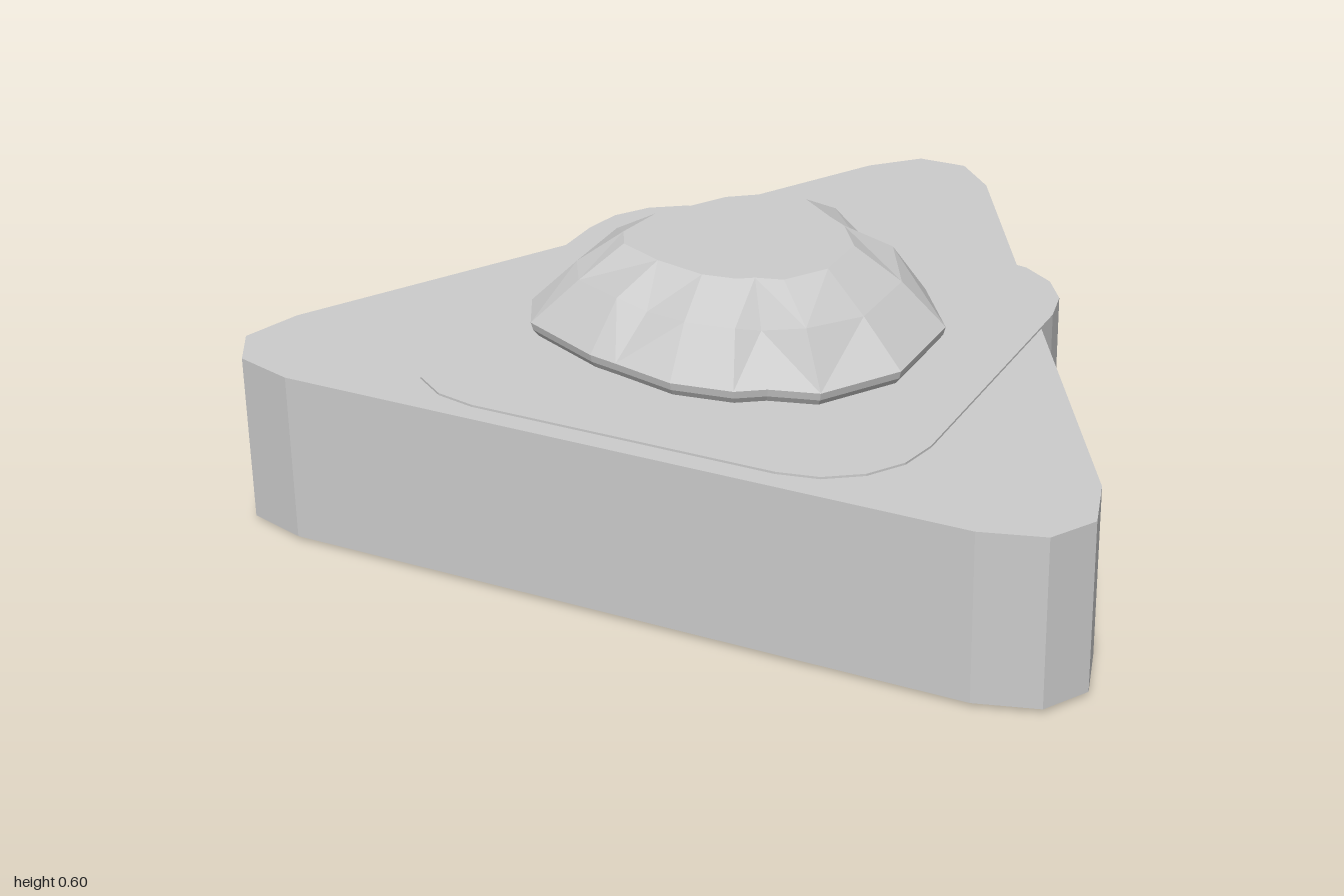
import * as THREE from 'three';

const grey = () => new THREE.MeshStandardMaterial({ color: 0xcccccc, flatShading: true });

// Upright prism from an outline of [x, z] points
function prism(name, outline, y0, y1) {
  const shape = new THREE.Shape(outline.map(([x, z]) => new THREE.Vector2(x, -z)));
  const geo = new THREE.ExtrudeGeometry(shape, { depth: y1 - y0, bevelEnabled: false });
  geo.rotateX(-Math.PI / 2).translate(0, y0, 0);
  const mesh = new THREE.Mesh(geo, grey());
  mesh.name = name;
  return mesh;
}

// Faceted solid through rings of [x, y, z] points, closed at both ends
function loft(name, rings) {
  const pos = [];
  const tri = (...pts) => pts.forEach((p) => pos.push(...p));
  const n = rings[0].length;
  for (let r = 0; r + 1 < rings.length; r++) {
    for (let i = 0; i < n; i++) {
      const j = (i + 1) % n;
      const a = rings[r][i], b = rings[r][j], c = rings[r + 1][j], d = rings[r + 1][i];
      if (i % 2) { tri(b, a, d); tri(b, d, c); }
      else { tri(b, a, c); tri(a, d, c); }
    }
  }
  const middle = (ring) => [0, 1, 2].map((k) => ring.reduce((s, p) => s + p[k], 0) / n);
  const low = rings[0], high = rings[rings.length - 1];
  for (let i = 0; i < n; i++) {
    const j = (i + 1) % n;
    tri(middle(low), low[i], low[j]);
    tri(middle(high), high[j], high[i]);
  }
  const geo = new THREE.BufferGeometry();
  geo.setAttribute('position', new THREE.Float32BufferAttribute(pos, 3));
  geo.computeVertexNormals();
  const mesh = new THREE.Mesh(geo, grey());
  mesh.name = name;
  return mesh;
}

export function createModel() {
  const model = new THREE.Group();
  model.name = 'gemOnBase';

  // Triangular slab with blunted corners, mirrored across x = 0
  const half = [[0.06, -0.89], [0.16, -0.79], [0.96, 0.6], [1, 0.74], [0.94, 0.84], [0.8, 0.88]];
  const mirrored = half.map(([x, z]) => [-x, z]).reverse();
  model.add(prism('triangularSlab', [...half, ...mirrored], 0.01, 0.4));

  // Rounded square block passing through the slab, a little taller at both faces
  const square = [];
  const side = 0.595, radius = 0.24, steps = 4;
  for (let corner = 0; corner < 4; corner++) {
    const mid = Math.PI / 4 + corner * Math.PI / 2;
    const cx = Math.sign(Math.cos(mid)) * (side - radius);
    const cz = Math.sign(Math.sin(mid)) * (side - radius);
    for (let i = 0; i <= steps; i++) {
      const a = (corner + i / steps) * Math.PI / 2;
      square.push([-0.008 + cx + radius * Math.cos(a), 0.235 + cz + radius * Math.sin(a)]);
    }
  }
  model.add(prism('roundedSquareBlock', square, 0, 0.405));

  // Rough-cut stone: thin girdle, sloping facets and a flat top
  const girdle = [
    [-0.1, -0.255], [0.04, -0.25], [0.21, -0.12], [0.3, -0.06], [0.42, 0.11], [0.42, 0.36],
    [0.31, 0.53], [0.2, 0.56], [0.14, 0.6], [0, 0.62], [-0.15, 0.585], [-0.22, 0.57],
    [-0.42, 0.48], [-0.48, 0.37], [-0.45, 0.15], [-0.36, 0.02], [-0.27, -0.13],
  ];
  const ring = (scale, y, shiftX = 0, shiftZ = 0, rough = 0) => girdle.map(([x, z], i) => {
    const wobble = rough * Math.sin(i * 2.4);
    const s = scale + wobble;
    return [-0.03 + shiftX + (x + 0.03) * s, y + wobble * 0.4, 0.18 + shiftZ + (z - 0.18) * s];
  });
  model.add(loft('facetedStone', [
    ring(0.96, 0.4),
    ring(0.99, 0.42),
    ring(1, 0.438),
    ring(0.79, 0.535, -0.005, -0.005, 0.035),
    ring(0.555, 0.6, -0.015, -0.015),
  ]));

  return model;
}
